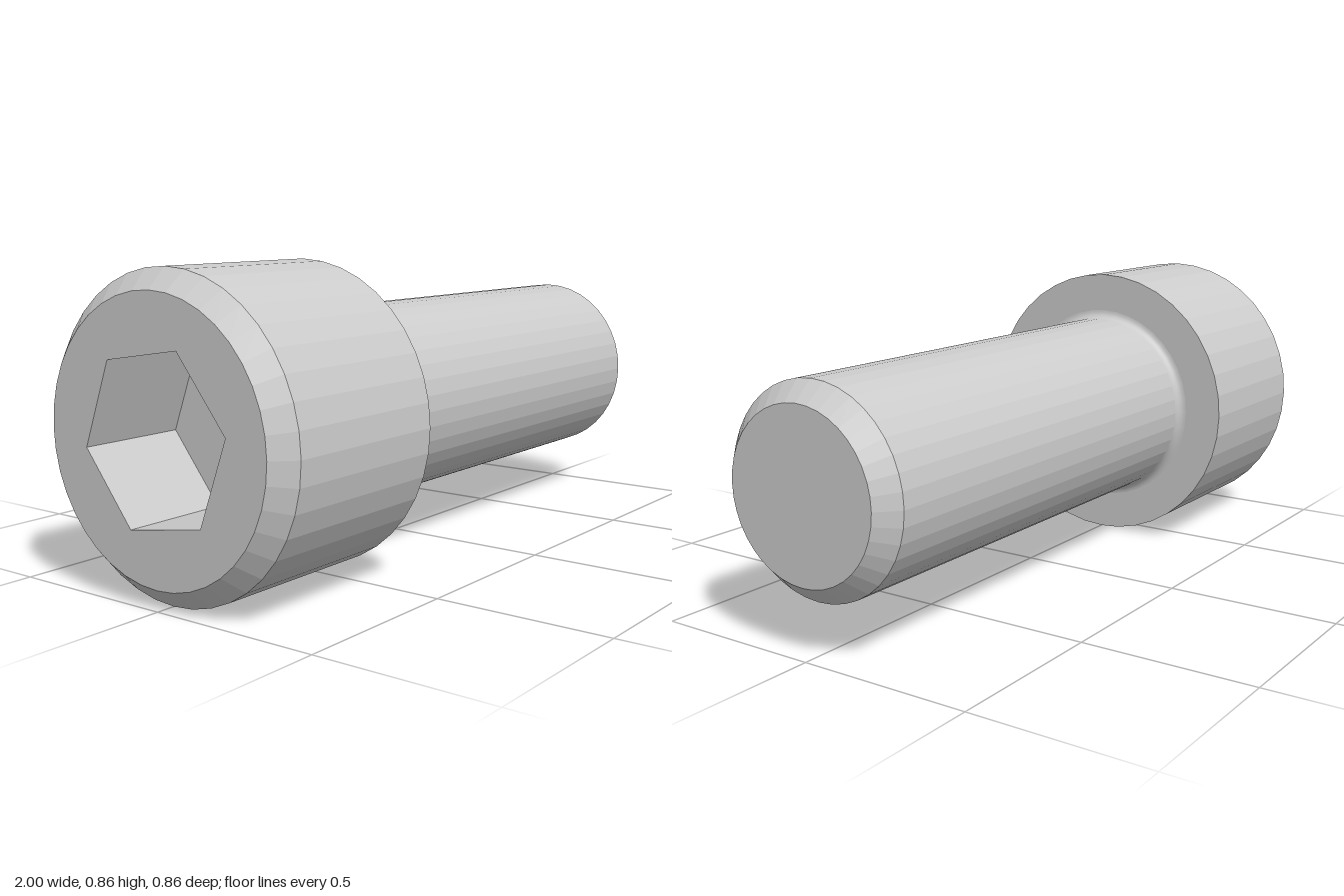
import * as THREE from 'three';

const SEGMENTS = 40;
const HEAD_R = 0.428, FACE_R = 0.373, SHANK_R = 0.286, TIP_R = 0.233;
const HEAD_END = -0.43, FILLET = 0.025;
const HEX_R = 0.248, HEX_TURN = Math.PI / 20, HEX_DEPTH = 0.31;

// Revolve [radius, x] points around the x axis
function revolve(name, points, material, segments = SEGMENTS, start = 0) {
  const profile = points.map(([r, x]) => new THREE.Vector2(r, x));
  const geometry = new THREE.LatheGeometry(profile, segments, start).rotateZ(-Math.PI / 2);
  const mesh = new THREE.Mesh(geometry, material);
  mesh.name = name;
  return mesh;
}

// Corners of a regular polygon
function polygon(sides, radius, turn = 0) {
  return Array.from({ length: sides }, (_, i) => {
    const a = turn + (i / sides) * Math.PI * 2;
    return new THREE.Vector2(radius * Math.cos(a), radius * Math.sin(a));
  });
}

export function createModel() {
  const flat = new THREE.MeshStandardMaterial({ color: 0xcccccc, flatShading: true });
  const smooth = new THREE.MeshStandardMaterial({ color: 0xcccccc });
  const bolt = new THREE.Group();
  bolt.name = 'socketHeadBolt';

  // Chamfered head with its flat underside
  bolt.add(revolve('head', [
    [FACE_R, -1], [HEAD_R, -0.945], [HEAD_R, HEAD_END], [SHANK_R + FILLET, HEAD_END],
  ], flat));

  // End face of the head, pierced by the hexagon
  const faceShape = new THREE.Shape(polygon(SEGMENTS, FACE_R));
  faceShape.holes.push(new THREE.Path(polygon(6, HEX_R, HEX_TURN)));
  const face = new THREE.Mesh(
    new THREE.ShapeGeometry(faceShape).rotateY(-Math.PI / 2).translate(-1, 0, 0), flat);
  face.name = 'headFace';
  bolt.add(face);

  // Hexagonal socket: floor and inward-facing walls
  bolt.add(revolve('hexSocket', [
    [0, -1 + HEX_DEPTH], [HEX_R, -1 + HEX_DEPTH], [HEX_R, -1],
  ], flat, 6, -HEX_TURN));

  // Rounded fillet between head and shank
  const arc = Array.from({ length: 7 }, (_, i) => {
    const a = (i / 6) * Math.PI / 2;
    return [SHANK_R + FILLET * (1 - Math.sin(a)), HEAD_END + FILLET * (1 - Math.cos(a))];
  });
  bolt.add(revolve('fillet', arc, smooth));

  // Plain shank with chamfered tip
  bolt.add(revolve('shank', [
    [SHANK_R, HEAD_END + FILLET], [SHANK_R, 0.945], [TIP_R, 1], [0, 1],
  ], flat));

  bolt.position.y = HEAD_R;
  return bolt;
}
